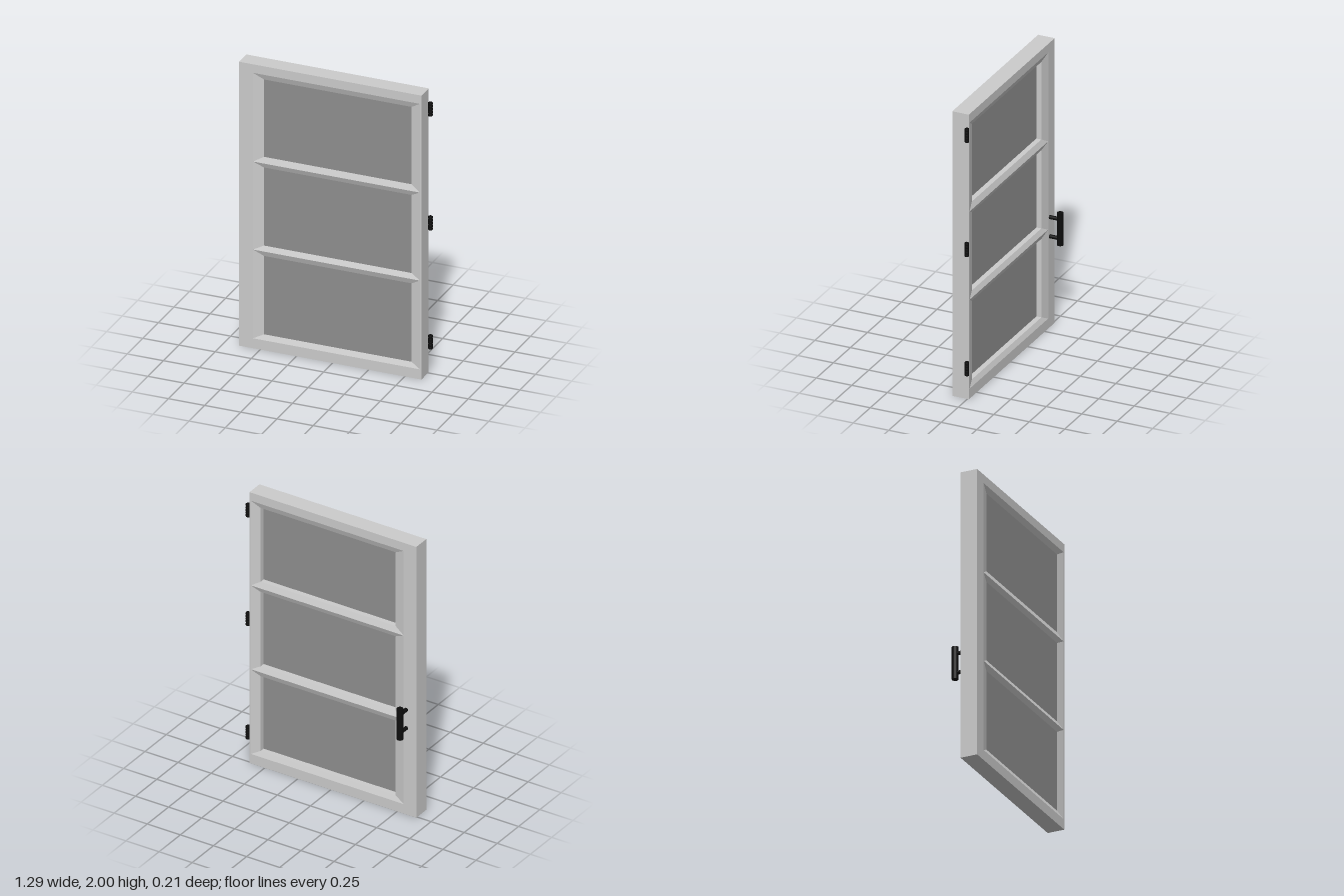
import * as THREE from 'three';

const grey = new THREE.MeshStandardMaterial({ color: 0xcccccc });
const glassGrey = new THREE.MeshStandardMaterial({ color: 0x8f8f8f });
const black = new THREE.MeshStandardMaterial({ color: 0x0c0c0c });

const FRONT = 0.107, BACK = -0.01, BEVEL = 0.015, GLASS_BACK = 0.04;
const LEFT = -0.645, RIGHT = 0.615;

// Rectangular loop of corners, counter-clockwise from the front
const rect = ([x0, x1, y0, y1], z) => [[x0, y0, z], [x1, y0, z], [x1, y1, z], [x0, y1, z]];

// Flat-faced skin joining successive rectangular loops
function loftLoops(loops) {
  const pos = [];
  for (let k = 0; k < loops.length - 1; k++) {
    for (let i = 0; i < 4; i++) {
      const j = (i + 1) % 4;
      const [a, b, c, d] = [loops[k][i], loops[k][j], loops[k + 1][j], loops[k + 1][i]];
      pos.push(...a, ...b, ...c, ...a, ...c, ...d);
    }
  }
  const g = new THREE.BufferGeometry();
  g.setAttribute('position', new THREE.Float32BufferAttribute(pos, 3));
  g.computeVertexNormals();
  return g;
}

function addMesh(parent, name, geometry, material, x = 0, y = 0, z = 0) {
  const mesh = new THREE.Mesh(geometry, material);
  mesh.name = name;
  mesh.position.set(x, y, z);
  parent.add(mesh);
  return mesh;
}

export function createModel() {
  const door = new THREE.Group();
  door.name = 'glazedDoor';

  // Outer frame: one slab with a single large opening
  const points = (r) => rect(r, 0).map(([x, y]) => new THREE.Vector2(x, y));
  const outline = new THREE.Shape(points([LEFT, RIGHT, 0, 2]));
  outline.holes.push(new THREE.Path(points([-0.55, 0.605, 0.07, 1.94]).reverse()));
  const slab = new THREE.ExtrudeGeometry(outline, { depth: FRONT - BACK, bevelEnabled: false });
  addMesh(door, 'frame', slab, grey, 0, 0, BACK);

  // Three panes; neighbouring mouldings meet in a ridge to form the crossbars
  const ridges = [0.07, 0.695, 1.315, 1.94];
  const panes = [[0.105, 0.657], [0.73, 1.28], [1.355, 1.9]];
  panes.forEach(([y0, y1], i) => {
    const outer = [-0.55, 0.605, ridges[i], ridges[i + 1]];
    const inner = [-0.48, 0.54, y0, y1];
    addMesh(door, 'frontMoulding', loftLoops([
      rect(outer, FRONT), rect(inner, FRONT - BEVEL),
    ]), grey);
    addMesh(door, 'backMoulding', loftLoops([
      rect(inner, GLASS_BACK), rect(inner, BACK + BEVEL), rect(outer, BACK),
    ]), grey);
    const depth = FRONT - BEVEL - GLASS_BACK;
    addMesh(door, 'glassPane', new THREE.BoxGeometry(1.02, y1 - y0, depth), glassGrey,
      0.03, (y0 + y1) / 2, GLASS_BACK + depth / 2);
  });

  // Hinges: five chamfered knuckles each
  const h = 0.0194, r = 0.015;
  const profile = [[0, -h / 2], [r - 0.003, -h / 2], [r, -h / 2 + 0.003],
    [r, h / 2 - 0.003], [r - 0.003, h / 2], [0, h / 2]].map(([x, y]) => new THREE.Vector2(x, y));
  const knuckle = new THREE.LatheGeometry(profile, 24);
  for (const y of [0.22, 1.058, 1.86]) {
    const hinge = new THREE.Group();
    hinge.name = 'hinge';
    hinge.position.set(0.63, y, -0.003);
    for (let i = -2; i <= 2; i++) addMesh(hinge, 'hingeKnuckle', knuckle, black, 0, i * h, 0);
    door.add(hinge);
  }

  // Pull handle on the back: upright bar on two posts
  const handle = new THREE.Group();
  handle.name = 'handle';
  addMesh(handle, 'handleBar', new THREE.CylinderGeometry(0.022, 0.022, 0.226, 32), black,
    -0.57, 0.708, -0.085);
  for (const y of [0.64, 0.775]) {
    const post = new THREE.CylinderGeometry(0.013, 0.013, 0.08, 24).rotateX(Math.PI / 2);
    addMesh(handle, 'handlePost', post, black, -0.57, y, -0.045);
  }
  door.add(handle);

  return door;
}
